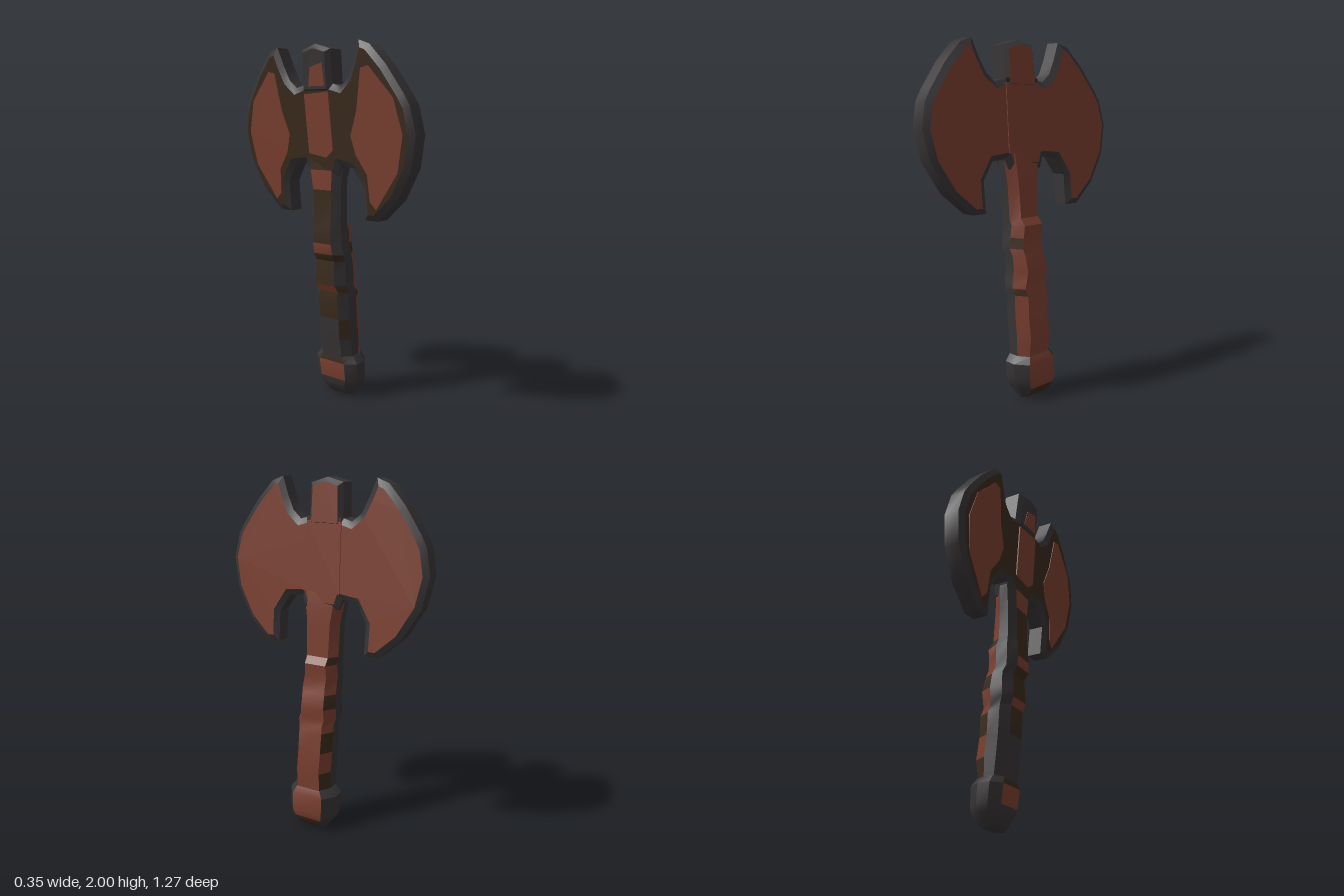
import * as THREE from 'three';
import { toCreasedNormals } from 'three/addons/utils/BufferGeometryUtils.js';

const mat = (name, color) => {
  const m = new THREE.MeshStandardMaterial({ color });
  m.name = name;
  return m;
};
const rust = mat('rust red', 0x7b3f30);
const iron = mat('dark iron', 0x383435);
const brown = mat('dark brown', 0x3a2a1c);

// The head leans toward -x with height and is turned slightly about the handle.
function lean(geo) {
  const p = geo.attributes.position;
  for (let i = 0; i < p.count; i++)
    p.setX(i, p.getX(i) + 0.095 - 0.097 * p.getY(i) - 0.07 * p.getZ(i));
  return geo;
}

// Slab with a [z, y] outline; materials are [-x face, +x face, rim].
function slab(name, outline, x, depth, bevel, inset, mats) {
  const shape = new THREE.Shape(outline.map(([z, y]) => new THREE.Vector2(-z, y)));
  const geo = new THREE.ExtrudeGeometry(shape, {
    depth, bevelEnabled: bevel > 0, bevelThickness: bevel, bevelSize: inset,
    bevelOffset: -inset, bevelSegments: 1,
  });
  geo.translate(0, 0, -depth / 2).rotateY(Math.PI / 2).translate(x, 0, 0);
  const [lids, sides] = geo.groups.map((g) => ({ ...g }));
  geo.clearGroups();
  geo.addGroup(lids.start, lids.count / 2, 0);
  geo.addGroup(lids.start + lids.count / 2, lids.count / 2, 1);
  geo.addGroup(sides.start, sides.count, 2);
  const mesh = new THREE.Mesh(toCreasedNormals(lean(geo), 0.5), mats);
  mesh.name = name;
  return mesh;
}

// Octagonal loft through [y, xMin, xMax, zMin, zMax] sections, listed downward.
const OCTAGON = [[1, -0.64], [1, 0.64], [0.25, 1], [-0.5, 1], [-1, 0.6], [-1, -0.6], [-0.5, -1], [0.25, -1]];
function loft(name, sections, pick) {
  const rings = sections.map(([y, x0, x1, z0, z1]) => OCTAGON.map(([u, v]) =>
    [(x0 + x1) / 2 + u * (x1 - x0) / 2, y, (z0 + z1) / 2 + v * (z1 - z0) / 2]));
  const mats = [rust, iron, brown];
  const geo = new THREE.BufferGeometry();
  const pos = [];
  for (let i = 0; i < rings.length - 1; i++)
    for (let k = 0; k < 8; k++) {
      const n = (k + 1) % 8;
      const [a, b, c, d] = [rings[i][k], rings[i][n], rings[i + 1][n], rings[i + 1][k]];
      geo.addGroup(pos.length / 3, 6, mats.indexOf(pick(i, k)));
      pos.push(...a, ...b, ...c, ...a, ...c, ...d);
    }
  const top = rings[0], end = rings[rings.length - 1];
  geo.addGroup(pos.length / 3, 36, 1);
  for (let k = 1; k < 7; k++) {
    pos.push(...top[0], ...top[k + 1], ...top[k]);
    pos.push(...end[0], ...end[k], ...end[k + 1]);
  }
  geo.setAttribute('position', new THREE.Float32BufferAttribute(pos, 3));
  const mesh = new THREE.Mesh(toCreasedNormals(geo, 0.5), mats);
  mesh.name = name;
  return mesh;
}

const mirror = (pts) => pts.map(([z, y]) => [-z, y]).reverse();

export function createModel() {
  const axe = new THREE.Group();
  axe.name = 'doubleAxe';

  // Double blade: one half outline, mirrored
  const half = [
    [0.11, 1.79], [0.165, 1.775], [0.22, 1.82], [0.26, 1.9], [0.3, 2.0], [0.37, 1.975],
    [0.47, 1.87], [0.57, 1.73], [0.605, 1.67], [0.635, 1.53], [0.6, 1.36], [0.5, 1.19],
    [0.37, 1.075], [0.285, 1.075], [0.285, 1.25], [0.22, 1.35], [0.13, 1.36], [0.11, 1.3],
  ];
  axe.add(slab('doubleBlade', [...half, ...mirror(half)], 0, 0.085, 0.02, 0.033, [brown, rust, iron]));

  // Rust panels on the -x face
  const panel = [
    [0.32, 1.86], [0.37, 1.87], [0.52, 1.71], [0.57, 1.53], [0.53, 1.34], [0.38, 1.14],
    [0.34, 1.18], [0.33, 1.32], [0.26, 1.42], [0.23, 1.52], [0.28, 1.65],
  ];
  for (const [name, pts] of [['frontPanel', panel], ['rearPanel', mirror(panel)]])
    axe.add(slab(name, pts, -0.063, 0.006, 0, 0, [rust, rust, rust]));
  axe.add(slab('centrePanel', [[0.09, 1.75], [0.1, 1.44], [0.05, 1.4], [-0.08, 1.42], [-0.09, 1.74]],
    -0.065, 0.009, 0, 0, [rust, rust, rust]));

  // Hub strap and the dark seam below the spike
  axe.add(slab('hubPlate', [[0.11, 1.77], [0.12, 1.39], [-0.12, 1.39], [-0.11, 1.77]],
    0.064, 0.008, 0, 0, [rust, rust, rust]));
  axe.add(slab('hubSeam', [[0.11, 1.795], [0.11, 1.772], [-0.11, 1.772], [-0.11, 1.795]],
    0.062, 0.009, 0, 0, [brown, brown, brown]));

  // Top spike
  axe.add(slab('topSpike', [[0.105, 1.74], [0.105, 1.97], [0.0, 2.0], [-0.1, 1.975], [-0.115, 1.74]],
    0, 0.09, 0.025, 0.024, [iron, rust, iron]));
  axe.add(slab('spikePatch', [[0.06, 1.9], [0.07, 1.78], [-0.05, 1.78], [-0.03, 1.88]],
    -0.069, 0.006, 0, 0, [rust, rust, rust]));

  // Lumpy wrapped handle
  const grip = [
    [1.42, -0.095, 0.015, -0.13, 0.13], [1.33, -0.1, 0.03, -0.125, 0.125], [1.22, -0.095, 0.04, -0.105, 0.11],
    [1.03, -0.095, 0.055, -0.1, 0.105], [0.99, -0.1, 0.085, -0.1, 0.105], [0.92, -0.1, 0.08, -0.105, 0.11],
    [0.86, -0.095, 0.085, -0.1, 0.12], [0.82, -0.07, 0.1, -0.105, 0.115], [0.74, -0.075, 0.12, -0.11, 0.115],
    [0.68, -0.075, 0.112, -0.112, 0.12], [0.64, -0.052, 0.115, -0.1, 0.13], [0.6, -0.055, 0.13, -0.105, 0.122],
    [0.48, -0.045, 0.138, -0.1, 0.125], [0.36, -0.035, 0.155, -0.1, 0.125], [0.28, -0.02, 0.145, -0.1, 0.125],
    [0.2, -0.015, 0.15, -0.1, 0.125],
  ];
  axe.add(loft('handle', grip, (i, k) => {
    if (k === 0) return rust;
    if (k === 1) return i === 5 || i === 10 ? brown : rust;
    if (k === 7) return i % 4 === 3 || i > 12 ? brown : rust;
    if (k === 4) return i > 11 ? iron : i % 4 === 1 ? rust : brown;
    if (k === 3) return i > 5 && i % 3 === 0 ? brown : iron;
    return iron;
  }));

  // Pommel
  const pommel = [
    [0.255, -0.015, 0.15, -0.105, 0.13], [0.215, -0.022, 0.168, -0.14, 0.16], [0.11, -0.008, 0.172, -0.138, 0.16],
    [0.07, 0.002, 0.165, -0.125, 0.14], [0.02, 0.03, 0.14, -0.085, 0.11], [0, 0.055, 0.115, -0.07, 0.1],
  ];
  axe.add(loft('pommel', pommel, (i, k) => {
    if (k === 0) return i < 3 ? rust : i === 3 ? brown : iron;
    if (k === 4) return i === 1 ? rust : i === 0 ? brown : iron;
    return iron;
  }));

  return axe;
}
